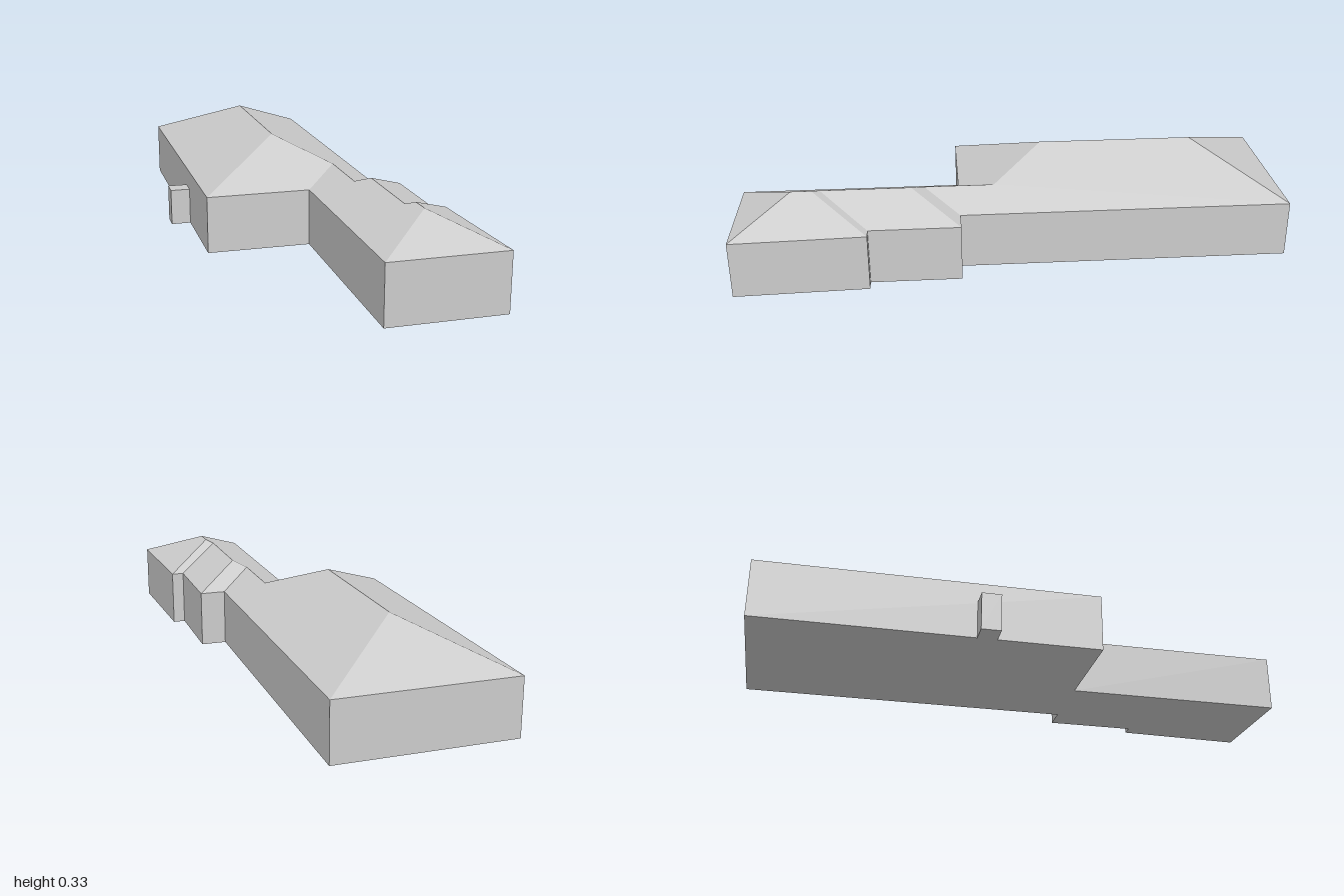
import * as THREE from 'three';

const EAVES = 0.195, SLOPE = 0.45;
const material = new THREE.MeshStandardMaterial({ color: 0xcccccc, flatShading: true });

// Footprint corners [x, z], in the building's own axes (z along its length)
const foot = {
  A: [-0.371, -0.947], B: [0.224, -0.947],                  // rear wall
  C: [0.224, 0.189], E: [0.311, 0.189],                     // first step of the wing
  F: [0.311, 0.497], G: [0.353, 0.497],                     // second step
  H: [0.370, 0.944], I: [-0.017, 0.944],                    // front wall
  J: [-0.017, 0.189], D: [-0.371, 0.189],                   // inner corner, main block
};

// Ridge points [x, z, distance from the eaves]
const ridge = {
  r1: [-0.0735, -0.6495, 0.2975], r2: [-0.0735, -0.1085, 0.2975],
  r3: [0.1035, 0.0685, 0.1205], r4: [0.1035, 0.3095, 0.1205],
  r5: [0.147, 0.353, 0.164], r6: [0.147, 0.661, 0.164],
  r7: [0.1715, 0.686, 0.1885], r8: [0.173, 0.754, 0.19],
};

// Roof planes, each meeting its neighbours along ridges, hips and valleys
const roofPlanes = [
  'A B r1', 'D A r1 r2', 'B C r4 r3 r2 r1', 'D r2 r3 J',
  'J r3 r4 r5 r6 r7 r8 I', 'C E r5 r4', 'E F r6 r5', 'F G r7 r6', 'G H r8 r7', 'H I r8',
];

const point = (key) => {
  const [x, z, d = 0] = foot[key] ?? ridge[key];
  return new THREE.Vector3(x, EAVES + d * SLOPE, z);
};

// Triangulates a polygon in plan and faces it up or down
function addPolygon(out, pts, up) {
  const plan = pts.map((p) => new THREE.Vector2(p.x, p.z));
  for (const face of THREE.ShapeUtils.triangulateShape(plan, [])) {
    const [a, b, c] = face.map((i) => pts[i]);
    const ny = (b.z - a.z) * (c.x - a.x) - (b.x - a.x) * (c.z - a.z);
    out.push(...((ny > 0) === up ? [a, b, c] : [a, c, b]));
  }
}

function meshFrom(points, name) {
  const geometry = new THREE.BufferGeometry().setFromPoints(points);
  geometry.computeVertexNormals();
  const mesh = new THREE.Mesh(geometry, material);
  mesh.name = name;
  return mesh;
}

export function createModel() {
  const model = new THREE.Group();
  model.name = 'house';
  const building = new THREE.Group();
  building.name = 'building';
  building.rotation.y = -0.185;
  model.add(building);

  // Walls around the footprint
  const top = Object.keys(foot).map(point);
  const base = top.map((p) => new THREE.Vector3(p.x, 0, p.z));
  const walls = [];
  top.forEach((p, i) => {
    const j = (i + 1) % top.length;
    walls.push(base[j], base[i], p, base[j], p, top[j]);
  });
  building.add(meshFrom(walls, 'walls'));

  // Floor
  const floor = [];
  addPolygon(floor, base, false);
  building.add(meshFrom(floor, 'floor'));

  // Hipped roof
  const roof = [];
  for (const plane of roofPlanes) addPolygon(roof, plane.split(' ').map(point), true);
  building.add(meshFrom(roof, 'roof'));

  // Small annex against the side wall
  const annex = new THREE.Mesh(new THREE.BoxGeometry(0.068, 0.128, 0.066), material);
  annex.name = 'sideAnnex';
  annex.position.set(-0.405, 0.064, -0.195);
  building.add(annex);

  return model;
}
